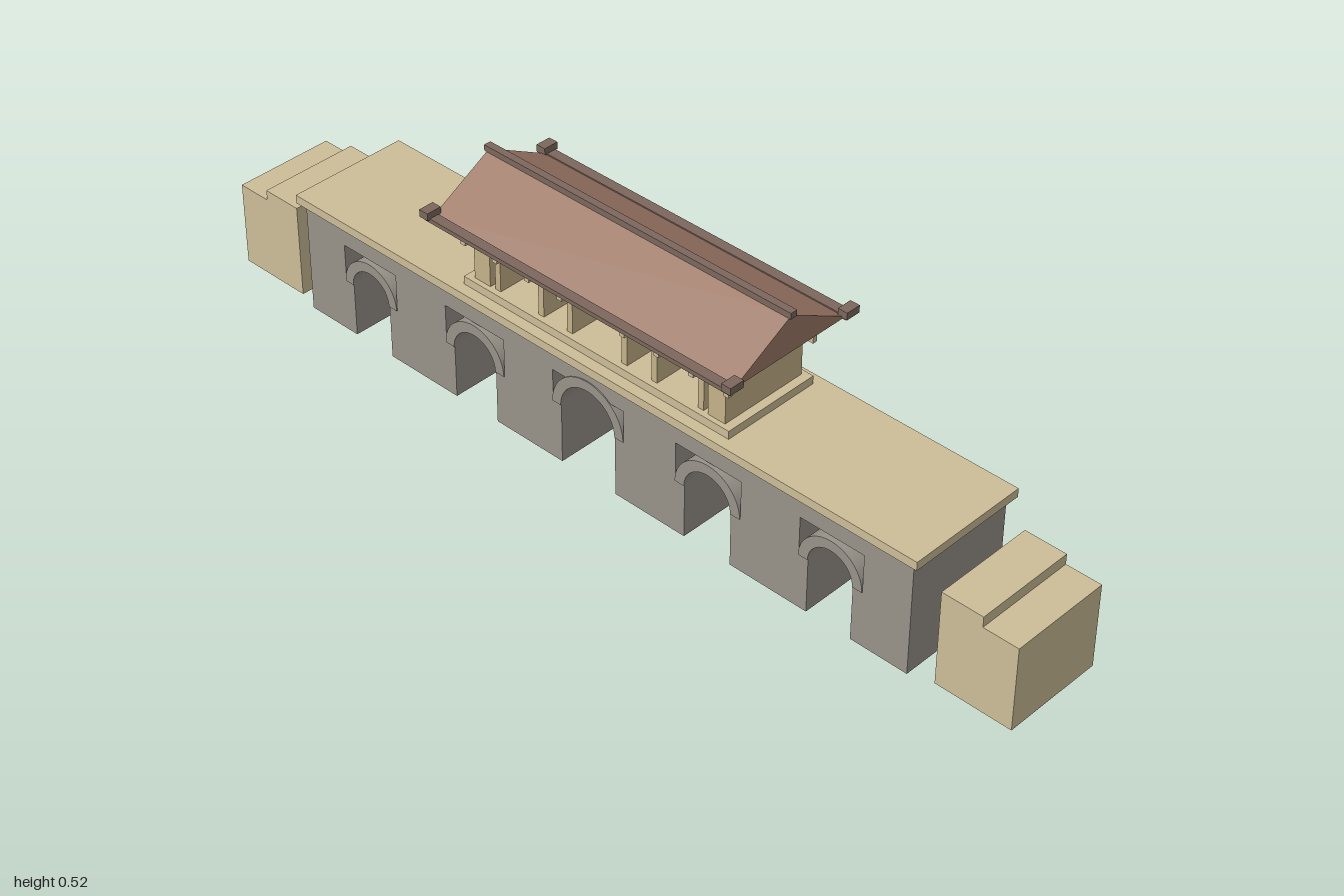
import * as THREE from 'three';

const mat = (color) => new THREE.MeshStandardMaterial({ color, flatShading: true });

export function createModel() {
  const model = new THREE.Group();
  const stone = mat(0x98938a), pale = mat(0xcdbd98), ochre = mat(0xc6b289);
  const tile = mat(0x9c7866), trim = mat(0x7c675d);
  const smoothStone = new THREE.MeshStandardMaterial({ color: 0x98938a });

  const add = (name, geometry, material, parent = model) => {
    const mesh = new THREE.Mesh(geometry, material);
    mesh.name = name;
    parent.add(mesh);
    return mesh;
  };
  // Box given by its extents
  const box = (name, x0, x1, y0, y1, z0, z1, material, parent) => {
    const mesh = add(name, new THREE.BoxGeometry(x1 - x0, y1 - y0, z1 - z0), material, parent);
    mesh.position.set((x0 + x1) / 2, (y0 + y1) / 2, (z0 + z1) / 2);
    return mesh;
  };
  const extrude = (shape, depth) =>
    new THREE.ExtrudeGeometry(shape, { depth, bevelEnabled: false, curveSegments: 24 })
      .translate(0, 0, -depth / 2);

  // Arches: centre x, opening half width, widened half width, springing height
  const arches = [
    [-0.597, 0.052, 0.074, 0.122], [-0.303, 0.057, 0.08, 0.12],
    [0, 0.07, 0.092, 0.135],
    [0.303, 0.057, 0.08, 0.12], [0.597, 0.052, 0.074, 0.122],
  ];
  const niche = 0.206;

  // Wall outline with the openings cut up from the ground
  const outline = new THREE.Shape();
  outline.moveTo(-0.78, 0);
  for (const [cx, r, w, s] of arches) {
    outline.lineTo(cx - r, 0);
    outline.lineTo(cx - r, s);
    outline.lineTo(cx - w, s);
    outline.lineTo(cx - w, niche);
    outline.lineTo(cx + w, niche);
    outline.lineTo(cx + w, s);
    outline.lineTo(cx + r, s);
    outline.lineTo(cx + r, 0);
  }
  outline.lineTo(0.78, 0);
  outline.lineTo(0.78, 0.254);
  outline.lineTo(-0.78, 0.254);
  add('arcadeWall', extrude(outline, 0.25), stone);

  // Arch rings running through the wall
  for (const [cx, r, w, s] of arches) {
    const ring = new THREE.Shape();
    ring.absarc(cx, s, w, 0, Math.PI, false);
    ring.lineTo(cx - r, s);
    ring.absarc(cx, s, r, Math.PI, 0, true);
    ring.closePath();
    add('archRing', extrude(ring, 0.254), smoothStone);
  }
  box('deck', -0.795, 0.795, 0.253, 0.272, -0.137, 0.137, pale);

  // Stepped blocks at both ends
  for (const s of [-1, 1]) {
    const step = new THREE.Shape();
    [[0.83, 0], [1, 0], [1, 0.187], [0.922, 0.187], [0.922, 0.21], [0.83, 0.21]]
      .forEach(([x, y], i) => (i ? step.lineTo(s * x, y) : step.moveTo(s * x, y)));
    add('endBlock', extrude(step, 0.227), pale).position.z = -0.004;
  }

  // Open pavilion
  const pavilion = new THREE.Group();
  pavilion.name = 'pavilion';
  model.add(pavilion);
  box('plinth', -0.34, 0.34, 0.272, 0.29, -0.113, 0.113, pale, pavilion);
  for (const s of [-1, 1]) {
    box('endWall', s * 0.3 - 0.021, s * 0.3 + 0.021, 0.29, 0.405, -0.102, 0.102, ochre, pavilion);
    box('lintel', -0.28, 0.28, 0.372, 0.405, s * 0.096 - 0.006, s * 0.096 + 0.006, ochre, pavilion);
    for (const x of [0.07, 0.145, 0.26]) {
      box('partition', s * x - 0.007, s * x + 0.007, 0.29, 0.405, -0.1, 0.1, ochre, pavilion);
    }
    // Drop posts hanging under the beam, front and back
    for (const x of [-0.335, -0.25, -0.165, -0.08, 0.08, 0.165, 0.25, 0.335]) {
      box('dropPost', x - 0.006, x + 0.006, 0.366, 0.406, s * 0.112 - 0.005, s * 0.112 + 0.005, pale, pavilion);
    }
  }
  box('eaveBeam', -0.352, 0.352, 0.404, 0.418, -0.119, 0.119, pale, pavilion);
  box('roofSeat', -0.33, 0.33, 0.418, 0.427, -0.102, 0.102, ochre, pavilion);

  // Gabled roof
  const roof = new THREE.Group();
  roof.name = 'roof';
  model.add(roof);
  const gable = new THREE.Shape();
  gable.moveTo(-0.148, 0.425);
  gable.lineTo(0.148, 0.425);
  gable.lineTo(0, 0.506);
  gable.closePath();
  add('roofSlopes', extrude(gable, 0.76).rotateY(Math.PI / 2), tile, roof);
  box('ridge', -0.385, 0.385, 0.503, 0.516, -0.008, 0.008, trim, roof);
  for (const z of [-1, 1]) {
    box('eaveBar', -0.385, 0.385, 0.422, 0.431, z * 0.153 - 0.011, z * 0.153 + 0.011, trim, roof);
    for (const x of [-1, 1]) {
      box('cornerFinial', x * 0.382 - 0.011, x * 0.382 + 0.011, 0.429, 0.445,
        z * 0.153 - 0.017, z * 0.153 + 0.017, trim, roof);
    }
  }
  return model;
}
